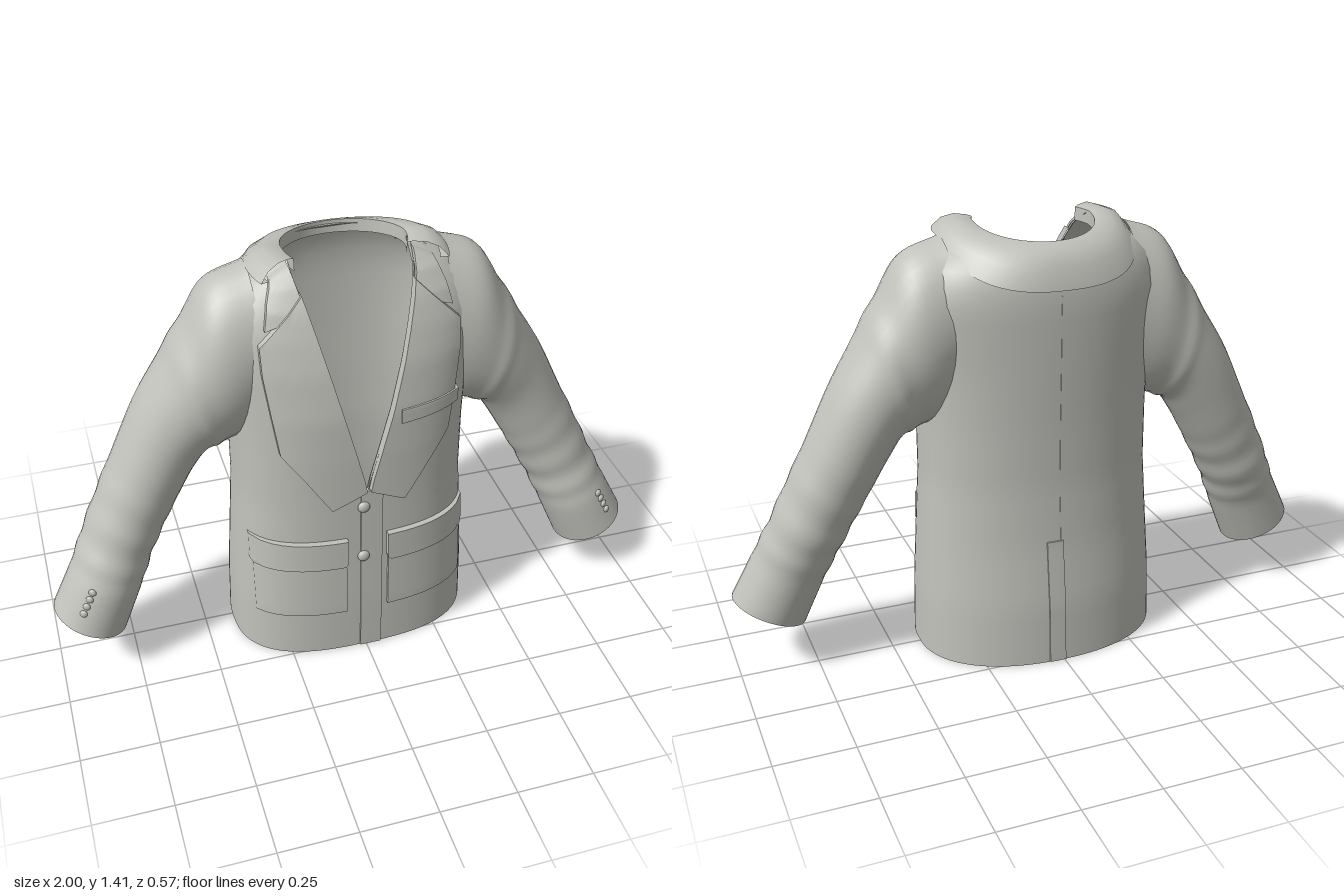
import * as THREE from 'three';
import { toCreasedNormals } from 'three/addons/utils/BufferGeometryUtils.js';

const cloth = new THREE.MeshStandardMaterial({ color: 0xc0c1ba, side: THREE.DoubleSide });
cloth.name = 'warm grey cloth';
const { lerp, clamp, smoothstep } = THREE.MathUtils;

// Sheet of (nu + 1) x (nv + 1) points given by f(i, j)
function grid(nu, nv, f, flip = false, crease = 0.9) {
  const pos = [], idx = [];
  for (let j = 0; j <= nv; j++) for (let i = 0; i <= nu; i++) pos.push(...f(i, j));
  for (let j = 0; j < nv; j++) for (let i = 0; i < nu; i++) {
    const a = j * (nu + 1) + i, b = a + 1, c = a + nu + 1, d = c + 1;
    if (flip) idx.push(a, d, b, a, c, d);
    else idx.push(a, b, d, a, d, c);
  }
  const g = new THREE.BufferGeometry();
  g.setAttribute('position', new THREE.Float32BufferAttribute(pos, 3));
  g.setIndex(idx);
  return toCreasedNormals(g, crease);
}

function add(group, name, geometry) {
  const mesh = new THREE.Mesh(geometry, cloth);
  mesh.name = name;
  group.add(mesh);
  return mesh;
}

// Torso sections: height, half width, front depth, back depth
const sections = [
  [0, 0.405, 0.27, 0.283], [0.2, 0.4, 0.27, 0.275], [0.4, 0.388, 0.265, 0.252],
  [0.6, 0.375, 0.262, 0.24], [0.8, 0.375, 0.262, 0.24], [0.95, 0.38, 0.258, 0.243],
  [1.1, 0.4, 0.235, 0.245], [1.2, 0.41, 0.205, 0.245], [1.28, 0.38, 0.175, 0.235],
  [1.34, 0.32, 0.14, 0.215], [1.375, 0.25, 0.105, 0.2], [1.395, 0.205, 0.08, 0.19],
];
const FRONT = 2.7, BACK = 2.2, TOP = 1.395;

function section(y) {
  let k = 0;
  while (k < sections.length - 2 && y > sections[k + 1][0]) k++;
  const a = sections[k], b = sections[k + 1];
  const t = clamp((y - a[0]) / (b[0] - a[0]), 0, 1);
  return [1, 2, 3].map((n) => lerp(a[n], b[n], t));
}

// Depth of the torso surface at x, y on the front (side 1) or back (side -1)
function surfaceZ(x, y, side = 1) {
  const [w, front, back] = section(y), p = side > 0 ? FRONT : BACK;
  const s = Math.pow(Math.max(0, 1 - Math.pow(Math.abs(x) / w, p)), 1 / p);
  return side * (side > 0 ? front : back) * s;
}

// Raised panel lying on the torso; rows run downward as [x0, y0, x1, y1]
function panel(rows, thick, mirror = 1, side = 1, nu = 10, nv = 24) {
  return grid(nu + 2, nv + 2, (i, j) => {
    const u = clamp(i - 1, 0, nu) / nu, v = clamp(j - 1, 0, nv) / nv * (rows.length - 1);
    const k = Math.min(Math.floor(v), rows.length - 2), t = v - k;
    const r = rows[k].map((n, q) => lerp(n, rows[k + 1][q], t));
    const x = lerp(r[0], r[2], u), y = lerp(r[1], r[3], u);
    const edge = i === 0 || j === 0 || i === nu + 2 || j === nv + 2;
    return [mirror * x, y, surfaceZ(x, y, side) + side * (edge ? -0.012 : thick)];
  }, mirror * side > 0);
}

// Hollow torso, open in a V at the front
function torso() {
  const n = 28, nu = 72;
  return grid(nu, 2 * n + 2, (i, j) => {
    const inner = j > n && j < 2 * n + 2;
    const row = j <= n ? j : inner ? 2 * n + 1 - j : 0;
    const y = TOP * row / n;
    const [w, f, b] = section(y).map((s) => s - (inner ? 0.015 : 0));
    const open = Math.min(Math.max(0, (y - 0.66) * 0.262), w * 0.97);
    const a0 = Math.asin(Math.pow(open / w, FRONT / 2));
    const a = lerp(a0, 2 * Math.PI - a0, i / nu), s = Math.sin(a), c = Math.cos(a);
    const p = c > 0 ? FRONT : BACK;
    const drop = 0.035 * Math.max(0, -c) * smoothstep(y, 1.32, TOP);
    return [
      w * Math.sign(s) * Math.pow(Math.abs(s), 2 / p), y - drop,
      (c > 0 ? f : -b) * Math.pow(Math.abs(c), 2 / p),
    ];
  });
}

// Sleeve guides: upper edge (z = centre depth) and lower edge (z = half depth)
const curve = (pts) => new THREE.CatmullRomCurve3(pts.map((p) => new THREE.Vector3(...p)));
const upper = curve([
  [0.3, 1.372, 0], [0.42, 1.325, 0], [0.5, 1.2, 0], [0.58, 1.07, -0.005], [0.66, 0.94, -0.01],
  [0.74, 0.775, -0.005], [0.805, 0.645, 0.005], [0.87, 0.505, 0.02], [0.92, 0.4, 0.045], [0.998, 0.25, 0.063],
]);
const lower = curve([
  [0.27, 0.87, 0.165], [0.35, 0.8, 0.175], [0.4, 0.785, 0.168], [0.45, 0.765, 0.16], [0.49, 0.71, 0.147],
  [0.545, 0.615, 0.138], [0.6, 0.515, 0.132], [0.655, 0.41, 0.13], [0.7, 0.31, 0.128], [0.772, 0.145, 0.125],
]);

function sleevePoint(t, a, shrink = 0) {
  const o = upper.getPoint(t), l = lower.getPoint(t);
  // Gathered folds on the forearm, a ridge at the upper arm
  const folds = 0.022 * Math.sin(t * 62 + 1.2 * Math.sin(a)) * smoothstep(t, 0.5, 0.75) * (1 - smoothstep(t, 0.86, 0.92));
  const ridge = 0.03 * Math.exp(-Math.pow((t - 0.27) / 0.03, 2));
  const k = 1 + folds + ridge - shrink / 0.13;
  const c = 0.5 + 0.5 * Math.cos(a) * k;
  return [lerp(l.x, o.x, c), lerp(l.y, o.y, c), o.z + l.z * Math.sin(a) * k];
}

function sleeve(m) {
  const n = 54, nu = 36;
  return grid(nu, 2 * n + 1, (i, j) => {
    const inner = j > n, t = (inner ? 2 * n + 1 - j : j) / n;
    const [x, y, z] = sleevePoint(t, (i / nu) * Math.PI * 2, inner ? 0.014 : 0);
    return [m * x, y, z];
  }, m < 0);
}

// Folded collar around the back of the neck
function collar() {
  const nu = 40;
  const bend = (v) => Math.sign(v) * Math.pow(Math.abs(v), 0.8);
  return grid(nu, 6, (i, j) => {
    const a = lerp(-2, 2, i / nu), s = Math.sin(a), c = Math.cos(a), b = Math.max(0, c);
    const N = [0.195 * s, 1.412 - 0.032 * b, -0.19 * c];
    const O = [0.305 * bend(s), 1.37 - 0.125 * Math.pow(b, 0.8), -0.275 * bend(c)];
    const mix = (t, out, up) => [lerp(N[0], O[0], t) + out * s, lerp(N[1], O[1], t) + up, lerp(N[2], O[2], t) - out * c];
    return [
      mix(0, -0.008, -0.05), mix(0, -0.006, -0.008), mix(0.08, 0, 0), mix(0.3, 0.014, 0.012),
      mix(0.6, 0.018, 0.012), mix(1, 0, 0), mix(0.97, -0.025, -0.004),
    ][j];
  });
}

function button(group, name, p, radius, turn = 0) {
  const b = add(group, name, new THREE.SphereGeometry(radius, 16, 10));
  b.scale.z = 0.6;
  b.position.set(...p);
  b.rotation.y = turn;
}

export function createModel() {
  const jacket = new THREE.Group();
  jacket.name = 'jacket';
  add(jacket, 'torso', torso());
  add(jacket, 'collar', collar());
  add(jacket, 'frontOverlap', panel([[-0.022, 0.66, 0.05, 0.66], [-0.022, 0.002, 0.05, 0.002]], 0.006));
  add(jacket, 'backVent', panel([[-0.004, 0.42, 0.05, 0.42], [-0.004, 0.002, 0.05, 0.002]], 0.005, 1, -1));
  add(jacket, 'backSeam', panel([[-0.004, 1.22, 0.004, 1.22], [-0.004, 0.42, 0.004, 0.42]], 0.002, 1, -1, 2));

  for (const m of [1, -1]) {
    const side = m > 0 ? 'left' : 'right';
    add(jacket, side + 'Sleeve', sleeve(m));

    // Notched lapel and the collar end above it
    add(jacket, side + 'CollarEnd', panel([
      [0.19, 1.385, 0.25, 1.358], [0.18, 1.34, 0.272, 1.3], [0.165, 1.28, 0.287, 1.232],
    ], 0.014, m));
    add(jacket, side + 'Lapel', panel([
      [0.172, 1.325, 0.308, 1.19], [0.14, 1.2, 0.306, 1.1], [0.094, 1.02, 0.288, 0.965],
      [0.047, 0.84, 0.268, 0.83], [0.014, 0.71, 0.195, 0.73], [0.006, 0.665, 0.118, 0.612],
    ], 0.021, m, 1, 12, 30));

    // Hip pocket with flap
    add(jacket, side + 'Pocket', panel([[0.07, 0.4, 0.355, 0.4], [0.07, 0.175, 0.355, 0.175]], 0.011, m));
    add(jacket, side + 'PocketFlap', panel([
      [0.066, 0.478, 0.362, 0.478], [0.066, 0.385, 0.364, 0.385], [0.076, 0.373, 0.354, 0.373],
    ], 0.02, m));

    // Cuff buttons
    for (let i = 0; i < 4; i++) {
      const [x, y, z] = sleevePoint(0.9 + 0.018 * i, 1.03);
      button(jacket, side + 'CuffButton', [m * x, y, z], 0.013, m * 0.5);
    }
  }

  add(jacket, 'breastPocket', panel([[0.1, 0.955, 0.3, 0.962], [0.1, 0.908, 0.3, 0.918]], 0.027));
  for (const y of [0.6, 0.4]) button(jacket, 'frontButton', [-0.014, y, surfaceZ(0, y) + 0.008], 0.02);
  return jacket;
}
